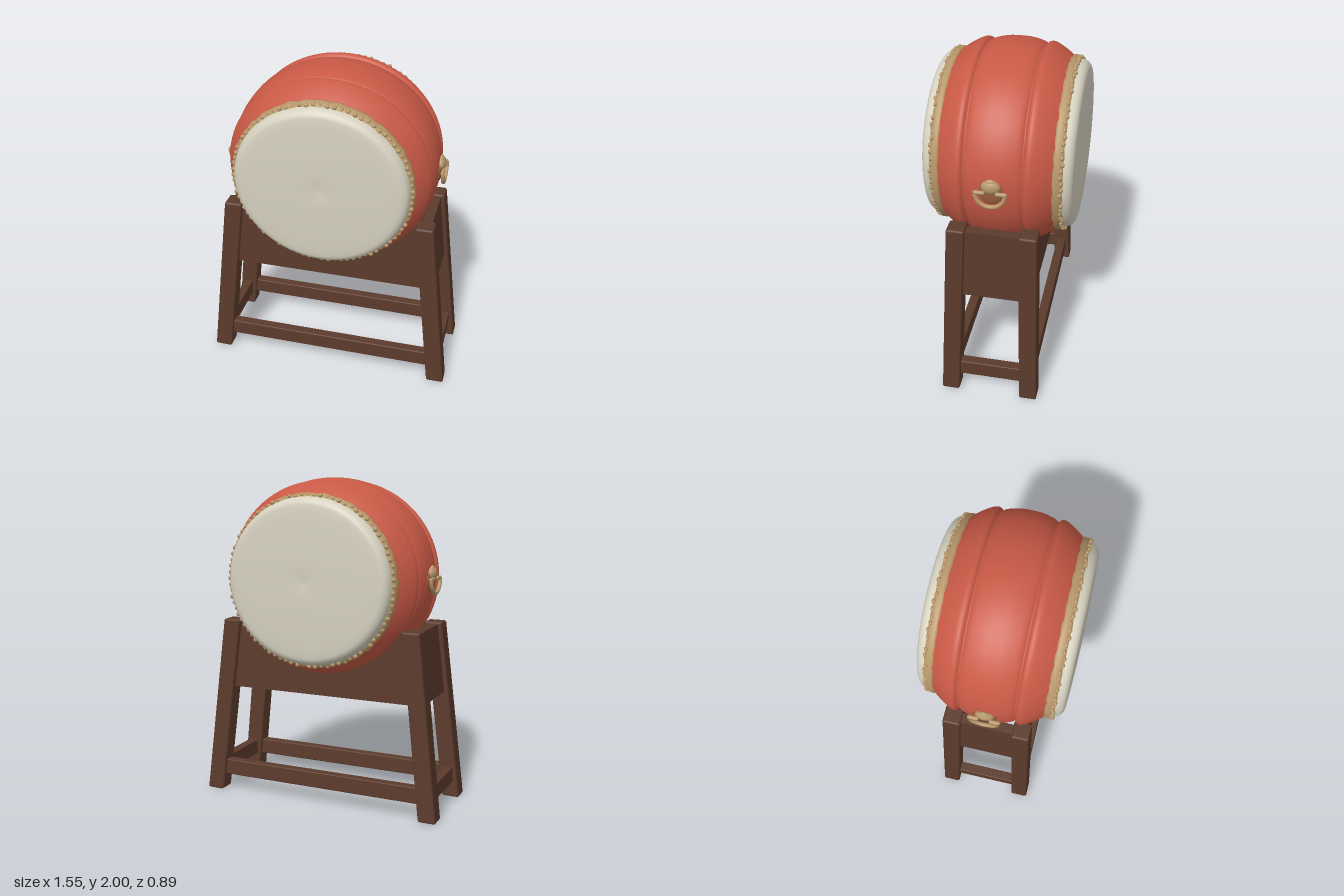
import * as THREE from 'three';
import { RoundedBoxGeometry } from 'three/addons/geometries/RoundedBoxGeometry.js';
import { mergeGeometries } from 'three/addons/utils/BufferGeometryUtils.js';

const mat = (name, color, side = THREE.FrontSide) => {
  const m = new THREE.MeshStandardMaterial({ color, side });
  m.name = name;
  return m;
};
const red = mat('red lacquer', 0xc85945, THREE.DoubleSide);
const hide = mat('pale hide', 0xd6d1c0);
const tan = mat('tan hide edge', 0xb8986a);
const wood = mat('dark wood', 0x5c3b2d);
const bronze = mat('bronze', 0x96603f);

const DRUM_Y = 1.4;
const WIDEN = 1.05; // the drum is slightly wider than tall
const LEG_H = 1.125;

function add(parent, name, geometry, material) {
  const mesh = new THREE.Mesh(geometry, material);
  mesh.name = name;
  parent.add(mesh);
  return mesh;
}

// Smooth lathe turned around the z axis; profile pairs are [z, radius]
function turned(profile, smooth, segments = 96) {
  let pts = profile.map(([z, r]) => new THREE.Vector2(r, z));
  if (smooth) pts = new THREE.SplineCurve(pts).getPoints(60);
  pts.forEach(p => { p.x = Math.max(0, p.x); });
  return new THREE.LatheGeometry(pts, segments).rotateX(Math.PI / 2);
}

// Leans a geometry: x and z offsets follow height
function lean(geometry, dx, dz) {
  const p = geometry.attributes.position;
  for (let i = 0; i < p.count; i++) {
    const t = p.getY(i) / LEG_H;
    p.setX(i, p.getX(i) + dx * t);
    p.setZ(i, p.getZ(i) + dz * t);
  }
  return geometry;
}

// Centre of a leg at a given height
const legX = y => 0.7225 - 0.13 * y / LEG_H;
const legZ = y => 0.2425 - 0.0325 * y / LEG_H;

function makeDrum() {
  const drum = new THREE.Group();
  drum.name = 'drum';

  // Barrel with a swelling at each groove, mirrored front to back
  const half = [[0, 0.6], [0.06, 0.598], [0.12, 0.586], [0.15, 0.575], [0.165, 0.565],
    [0.18, 0.579], [0.2, 0.583], [0.23, 0.572], [0.28, 0.543], [0.325, 0.51]];
  const back = half.slice(1).reverse().map(([z, r]) => [-z, r]);
  add(drum, 'barrel', turned([...back, ...half], true), red);

  for (const facing of [0, Math.PI]) {
    const head = new THREE.Group();
    head.name = facing ? 'backHead' : 'frontHead';
    head.rotation.y = facing;
    drum.add(head);

    // Domed skin with a rounded rim and a faint dip in the middle
    add(head, 'skin', turned([[0.355, 0.498], [0.38, 0.494], [0.405, 0.485], [0.422, 0.468],
      [0.431, 0.44], [0.437, 0.36], [0.442, 0.2], [0.443, 0.09], [0.437, 0]], true), hide);

    // Uneven folded edge of the hide
    const edge = turned([[0.315, 0.495], [0.32, 0.512], [0.335, 0.515], [0.355, 0.512],
      [0.372, 0.504], [0.378, 0.49]], false, 160);
    const p = edge.attributes.position;
    for (let i = 0; i < p.count; i++) {
      const a = Math.atan2(p.getY(i), p.getX(i));
      const k = 1 + 0.005 * Math.sin(a * 37) + 0.004 * Math.sin(a * 23 + 1);
      p.setXY(i, p.getX(i) * k, p.getY(i) * k);
    }
    add(head, 'hideEdge', edge, tan);

    // Row of tacks around the edge
    const tacks = [];
    const count = 84;
    for (let i = 0; i < count; i++) {
      const a = i / count * Math.PI * 2;
      const r = 0.503 + 0.003 * Math.sin(i * 2.4);
      tacks.push(new THREE.SphereGeometry(0.014, 8, 6).scale(1, 1, 0.9)
        .translate(r * Math.cos(a), r * Math.sin(a), 0.367 + 0.005 * Math.sin(i * 1.7)));
    }
    add(head, 'tacks', mergeGeometries(tacks), tan);
  }
  drum.scale.x = WIDEN;
  drum.position.y = DRUM_Y;
  return drum;
}

// Ring pull on the side of the drum, built for +x
function makeHandle(name) {
  const handle = new THREE.Group();
  handle.name = name;
  const plate = add(handle, 'backPlate', new THREE.SphereGeometry(1, 24, 14), bronze);
  plate.scale.set(0.016, 0.075, 0.07);
  plate.position.set(0.627, 1.405, 0);
  const knob = add(handle, 'knob', new THREE.SphereGeometry(1, 20, 14), tan);
  knob.scale.set(0.03, 0.042, 0.055);
  knob.position.set(0.63, 1.44, 0);
  const crest = add(handle, 'crest', new THREE.SphereGeometry(1, 14, 10), tan);
  crest.scale.set(0.015, 0.024, 0.03);
  crest.position.set(0.634, 1.467, 0);
  const ring = add(handle, 'ring', new THREE.TorusGeometry(0.084, 0.012, 10, 32, Math.PI)
    .rotateZ(Math.PI).rotateY(Math.PI / 2), tan);
  ring.position.set(0.656, 1.41, 0);
  for (const s of [1, -1]) {
    const arm = add(handle, 'ringArm', new THREE.CapsuleGeometry(0.012, 0.045, 4, 10)
      .rotateX(Math.PI / 2), tan);
    arm.position.set(0.652, 1.412, s * 0.062);
  }
  return handle;
}

function makeStand() {
  const stand = new THREE.Group();
  stand.name = 'stand';

  // Splayed legs
  for (const sx of [1, -1]) for (const sz of [1, -1]) {
    const leg = new RoundedBoxGeometry(0.11, LEG_H, 0.108, 2, 0.012).translate(0, LEG_H / 2, 0);
    lean(leg, -0.13 * sx, -0.0325 * sz);
    add(stand, 'leg', leg, wood).position.set(sx * legX(0), 0, sz * legZ(0));
  }

  // Front and back aprons, hollowed to cradle the drum
  const low = 0.69, high = 1.11, r = 0.56;
  const start = Math.asin((high - DRUM_Y) / r);
  const apron = new THREE.Shape();
  apron.moveTo(-legX(low), low);
  apron.lineTo(legX(low), low);
  apron.lineTo(legX(high), high);
  apron.absellipse(0, DRUM_Y, r * WIDEN, r, start, -Math.PI - start, true);
  apron.lineTo(-legX(high), high);
  for (const sz of [1, -1]) {
    const g = new THREE.ExtrudeGeometry(apron, { depth: 0.06, bevelEnabled: false, curveSegments: 32 });
    g.translate(0, 0, -0.03);
    lean(g, 0, -0.0325 * sz);
    add(stand, sz > 0 ? 'frontApron' : 'backApron', g, wood).position.z = sz * 0.232;
  }

  for (const s of [1, -1]) {
    // Side aprons lean with the legs
    const side = new THREE.BoxGeometry(0.06, high - low, 0.4).translate(0, (low + high) / 2, 0);
    add(stand, 'sideApron', lean(side, -0.13 * s, 0), wood).position.x = s * legX(0);

    // Lower rails
    const long = add(stand, 'longRail', new RoundedBoxGeometry(1.4, 0.1, 0.06, 2, 0.006), wood);
    long.position.set(0, 0.15, s * legZ(0.15));
    const short = add(stand, 'shortRail', new RoundedBoxGeometry(0.06, 0.1, 0.46, 2, 0.006), wood);
    short.position.set(s * legX(0.15), 0.15, 0);
  }
  return stand;
}

export function createModel() {
  const model = new THREE.Group();
  model.name = 'drumOnStand';
  const right = makeHandle('rightHandle');
  right.rotation.y = Math.PI;
  model.add(makeDrum(), makeStand(), makeHandle('leftHandle'), right);
  return model;
}
